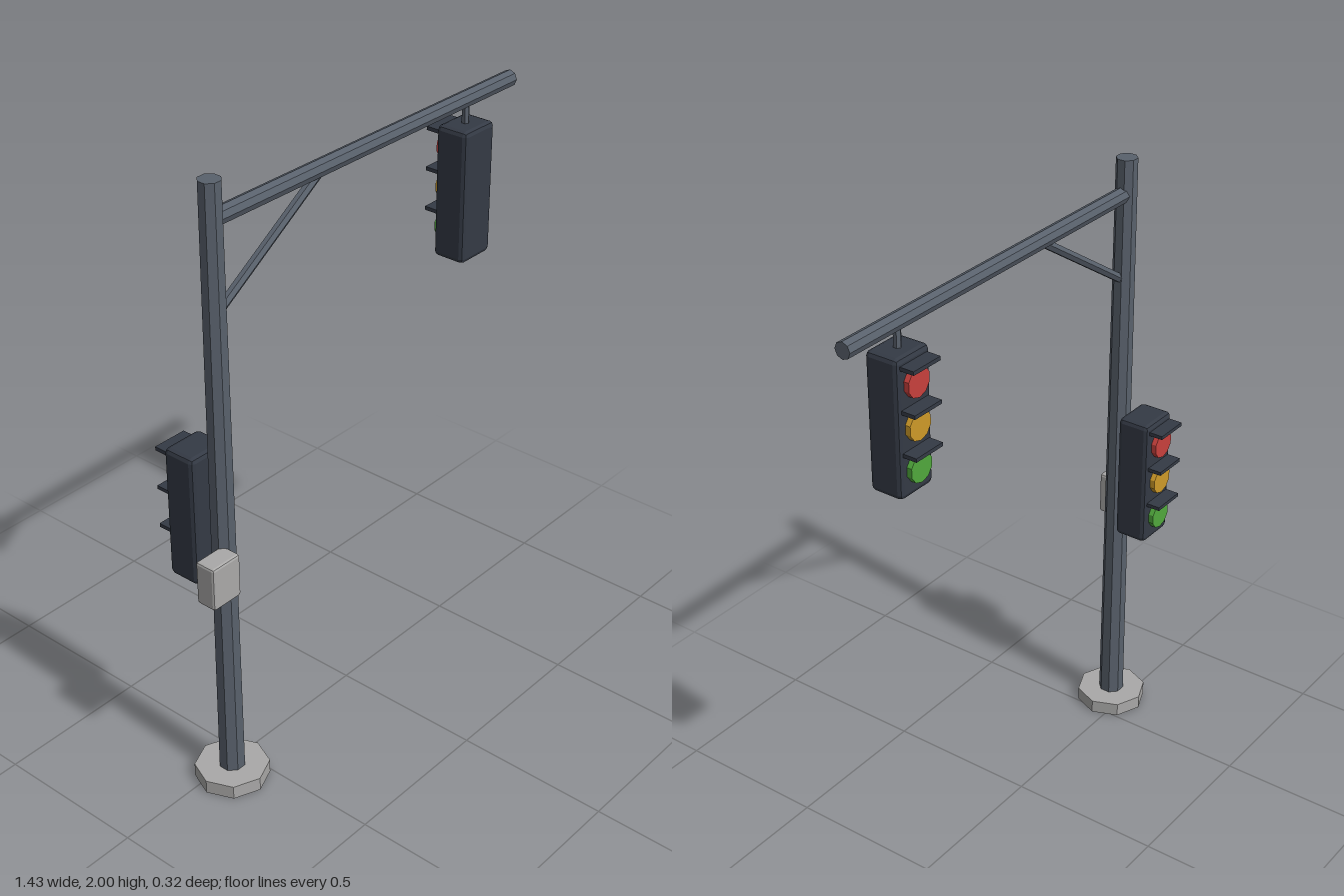
import * as THREE from 'three';
import { RoundedBoxGeometry } from 'three/addons/geometries/RoundedBoxGeometry.js';

const mat = (name, color) => {
  const m = new THREE.MeshStandardMaterial({ color, flatShading: true });
  m.name = name;
  return m;
};

export function createModel() {
  const steel = mat('steel grey', 0x59616c);
  const housing = mat('dark housing', 0x343a45);
  const concrete = mat('pale grey', 0xaaa9a8);
  const lampMats = [
    mat('lamp red', 0xc8403c),
    mat('lamp amber', 0xce9a28),
    mat('lamp green', 0x50a83c),
  ];

  const model = new THREE.Group();
  model.name = 'trafficLight';
  const poleX = -0.59, poleZ = 0.042;

  const add = (parent, name, geometry, material, x = 0, y = 0, z = 0) => {
    const mesh = new THREE.Mesh(geometry, material);
    mesh.name = name;
    mesh.position.set(x, y, z);
    parent.add(mesh);
    return mesh;
  };

  // Straight bar between two points
  const bar = (name, from, to, radius, sides) => {
    const a = new THREE.Vector3(...from), b = new THREE.Vector3(...to);
    const dir = b.clone().sub(a);
    const mesh = add(model, name, new THREE.CylinderGeometry(radius, radius, dir.length(), sides), steel);
    mesh.position.copy(a).add(b).multiplyScalar(0.5);
    mesh.quaternion.setFromUnitVectors(new THREE.Vector3(0, 1, 0), dir.normalize());
  };

  // Footing and tapered pole
  add(model, 'base', new THREE.CylinderGeometry(0.116, 0.116, 0.045, 8), concrete, poleX, 0.0225, poleZ);
  const pole = new THREE.CylinderGeometry(0.034, 0.042, 1.96, 8).rotateY(Math.PI / 8);
  add(model, 'pole', pole, steel, poleX, 1.02, poleZ);

  // Mast arm, diagonal brace and hanger
  bar('arm', [poleX, 1.886, poleZ], [0.715, 1.886, poleZ], 0.026, 8);
  bar('brace', [poleX, 1.6, poleZ], [-0.15, 1.883, poleZ], 0.015, 6);
  bar('hanger', [0.497, 1.79, poleZ], [0.497, 1.88, poleZ], 0.012, 6);

  // Signal head with three lamps and visors on its rear face
  const signal = (name, x, y, z) => {
    const head = new THREE.Group();
    head.name = name;
    head.position.set(x, y, z);
    model.add(head);
    add(head, 'housing', new RoundedBoxGeometry(0.14, 0.43, 0.112, 1, 0.015), housing);
    lampMats.forEach((material, i) => {
      const lampY = (1 - i) * 0.131;
      const lamp = new THREE.CylinderGeometry(0.046, 0.046, 0.026, 10).rotateX(Math.PI / 2);
      add(head, 'lamp', lamp, material, 0, lampY, -0.06);
      add(head, 'visor', new THREE.BoxGeometry(0.114, 0.012, 0.052), housing, 0, lampY + 0.057, -0.076);
    });
  };
  signal('hangingSignal', 0.497, 1.595, 0.044);
  signal('poleSignal', poleX, 0.943, -0.056);

  // Control box on the pole
  add(model, 'controlBox', new RoundedBoxGeometry(0.11, 0.142, 0.07, 1, 0.008), concrete, -0.66, 0.8, 0.086);

  return model;
}
